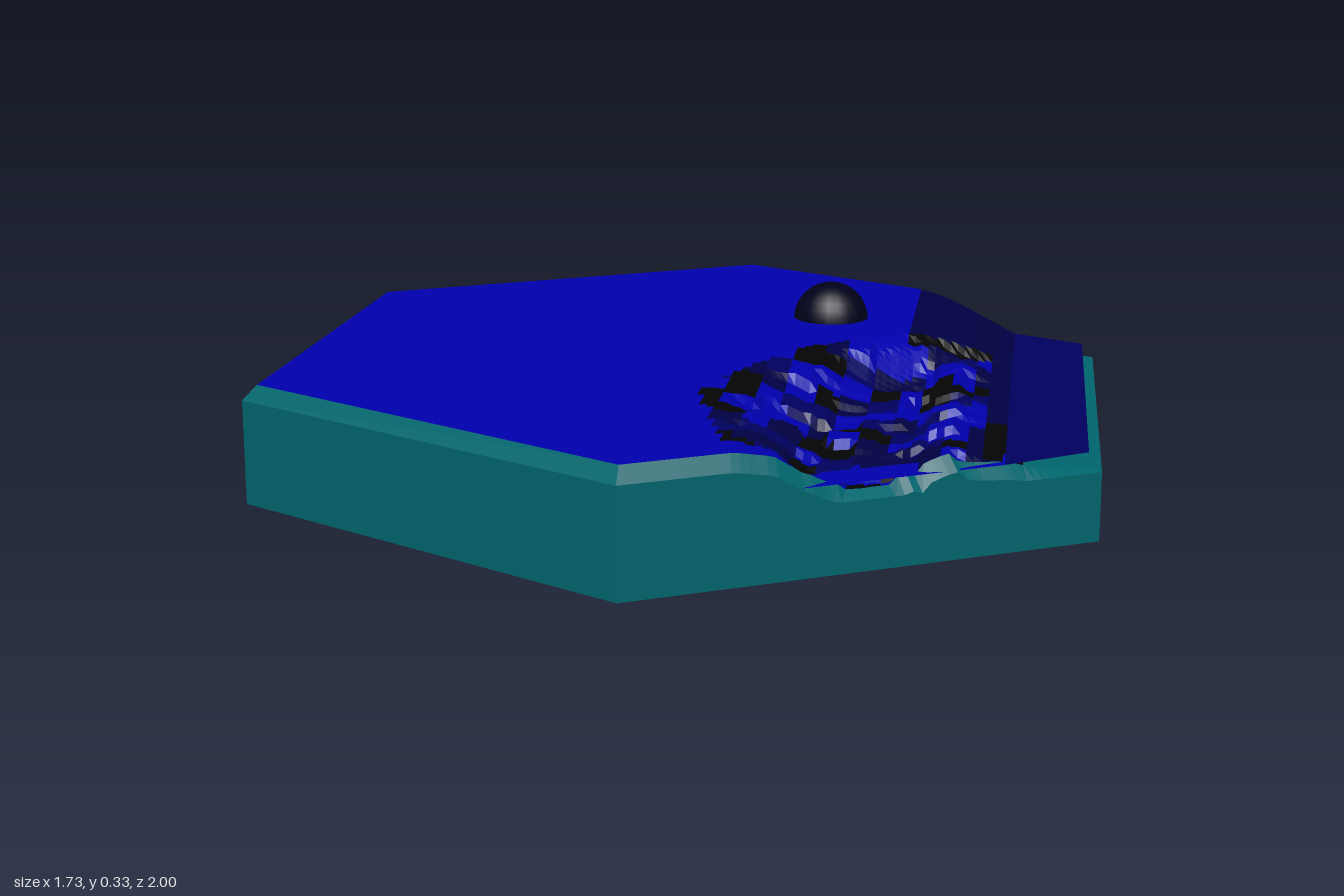
import * as THREE from 'three';

const INSET = 0.968, APOTHEM = 0.866 * INSET, WATER = 0.175;
const smooth = (a, b, t) => THREE.MathUtils.smoothstep(t, a, b);
const mat = (name, color) => {
  const m = new THREE.MeshStandardMaterial({ color });
  m.name = name;
  return m;
};

// repeatable noise for cell (i, j)
function hash(i, j) {
  const s = Math.sin(i * 127.1 + j * 311.7) * 43758.5453;
  return s - Math.floor(s);
}

// western rim of the hollow, as [z, x] points
const rim = [[-0.26, 0.66], [-0.2, 0.44], [0, 0.2], [0.2, 0.12], [0.4, 0.06], [0.6, 0.11], [0.8, 0.17], [1, 0.2]];
function rimX(z) {
  if (z <= rim[0][0]) return 9;
  const k = rim.findIndex((p) => p[0] >= z);
  const [a, b] = [rim[k - 1], rim[k]];
  return a[1] + (b[1] - a[1]) * (z - a[0]) / (b[0] - a[0]);
}

// ground height: plateau, shore slope on the right, and a rough hollow
function height(x, z) {
  const slope = 0.25 - 0.105 * smooth(0.43, 0.82, x);
  const d = x - rimX(z);
  if (d <= 0) return slope;
  const floor = 0.25 - 0.085 * smooth(0.03, 0.24, d);
  const hollow = Math.min(slope - 0.015 * smooth(0, 0.1, d) * (1 - smooth(0.6, 0.7, x)),
    floor + (slope - floor) * smooth(0.46, 0.64, x));
  const rough = (hash(Math.round(x * 20), Math.round(z * 14)) - 0.5) * 0.024
    * smooth(0, 0.1, d) * (1 - smooth(0.55, 0.69, x)) * (1 - smooth(0.7, 0.85, z));
  return Math.min(0.25, hollow + rough);
}

// colour of the ground at a spot
function groundKey(x, z) {
  if (x > 0.71) return 'seabed';
  if (x > 0.64 && z > 0.3 && z < 0.58) return 'rocks';
  if (x > rimX(z) && x < 0.63) {
    if (z > 0.77 && x < 0.3) return 'plateau';
    const col = Math.floor(x * 18);
    const r = hash(col + 5, Math.floor(z * 12 + 2 * hash(col, 3)));
    return r < 0.24 ? 'rocks' : r < 0.46 ? 'slope' : r < 0.68 ? 'bank' : 'plateau';
  }
  return x > 0.45 ? 'slope' : 'plateau';
}

function meshFrom(name, tris, material) {
  const g = new THREE.BufferGeometry();
  g.setAttribute('position', new THREE.Float32BufferAttribute(tris.flat(), 3));
  g.computeVertexNormals();
  const m = new THREE.Mesh(g, material);
  m.name = name;
  return m;
}
const quad = (list, a, b, c, d) => list.push(a, b, c, a, c, d);

// flat sheet of water from an [x, z] outline
function sheet(name, outline, material) {
  const shape = new THREE.Shape(outline.map(([x, z]) => new THREE.Vector2(x, -z)));
  const m = new THREE.Mesh(new THREE.ShapeGeometry(shape), material);
  m.name = name;
  m.rotation.x = -Math.PI / 2;
  m.position.y = WATER;
  return m;
}

export function createModel() {
  const group = new THREE.Group();
  group.name = 'hexTerrainTile';
  const teal = mat('teal', 0x00646c);
  const navy = mat('navy', 0x00005e);
  const blue = mat('blue', 0x0000ac);
  const colors = {
    plateau: blue,
    slope: mat('deepNavy', 0x000042),
    bank: navy,
    rocks: mat('nearBlack', 0x050404),
    seabed: teal,
  };

  // columns across the tile: one broad step on the left, fine steps on the right
  const xs = [-APOTHEM];
  const nx = 54, nz = 90;
  for (let i = 0; i <= nx; i++) xs.push(APOTHEM * i / nx);
  const point = (i, j) => {
    const x = xs[i], z = (2 * j / nz - 1) * (INSET - Math.abs(x) * 0.57735);
    return [x, height(x, z), z];
  };

  // ground faces sorted by colour
  const faces = { plateau: [], slope: [], bank: [], rocks: [], seabed: [] };
  for (let i = 0; i < xs.length - 1; i++) {
    for (let j = 0; j < nz; j++) {
      const a = point(i, j), b = point(i, j + 1), c = point(i + 1, j + 1), d = point(i + 1, j);
      quad(faces[groundKey((a[0] + c[0]) / 2, (a[2] + c[2]) / 2)], a, b, c, d);
    }
  }
  for (const key in faces) group.add(meshFrom(key + 'Ground', faces[key], colors[key]));

  // water along the right shore, and a pool at the front of the hollow
  group.add(
    sheet('shoreWater', [[0.68, -0.575], [0.84, -0.484], [0.84, 0.484], [0.68, 0.6]], navy),
    sheet('frontPool', [[0.68, 0.6], [0.29, 0.83], [0.34, 0.7], [0.68, 0.52]], blue));

  // rim loop: front, right, back, left
  const loop = [], last = xs.length - 1;
  for (let i = 0; i < last; i++) loop.push(point(i, nz));
  for (let j = nz; j > 0; j--) loop.push(point(last, j));
  for (let i = last; i >= 0; i--) loop.push(point(i, 0));

  // walls, bevelled edge and underside
  const walls = [], bevel = [], base = [];
  loop.forEach((p, k) => {
    const q = loop[(k + 1) % loop.length];
    const out = ([x, y, z], h) => [x / INSET, h ?? Math.max(0.14, y - 0.03), z / INSET];
    quad(walls, out(p, 0), out(q, 0), out(q), out(p));
    quad(bevel, out(p), out(q), q, p);
    base.push([0, 0, 0], out(q, 0), out(p, 0));
  });
  group.add(meshFrom('sideWalls', walls, teal), meshFrom('bevelledEdge', bevel, teal),
    meshFrom('underside', base, teal));

  // dome boulder on the plateau
  const dome = new THREE.Mesh(
    new THREE.SphereGeometry(0.086, 20, 8, 0, Math.PI * 2, 0, Math.PI / 2),
    mat('midnight', 0x00001a));
  dome.name = 'domeBoulder';
  dome.position.set(0.26, 0.246, -0.35);
  group.add(dome);
  return group;
}
